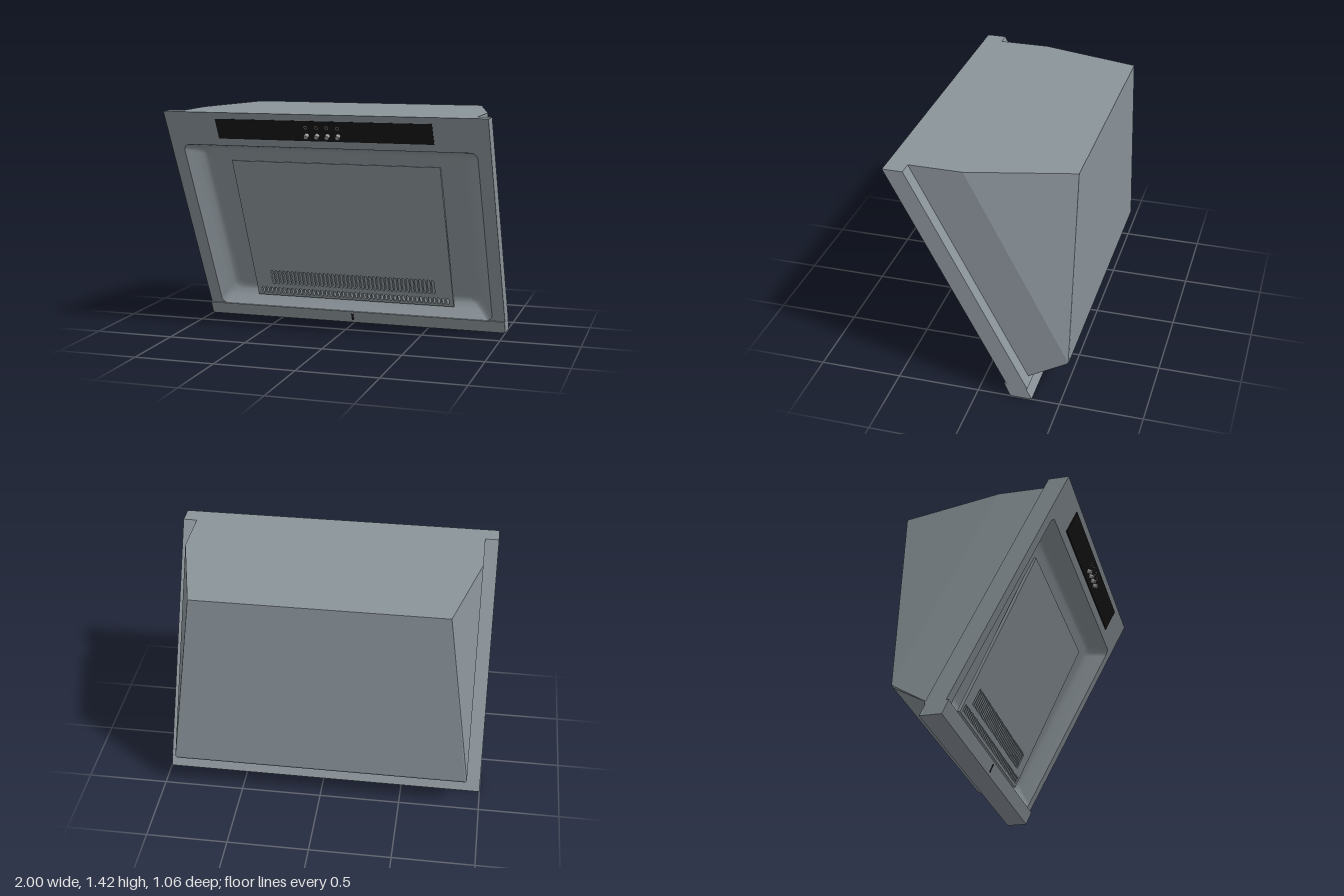
import * as THREE from 'three';
import { ConvexGeometry } from 'three/addons/geometries/ConvexGeometry.js';

const steel = new THREE.MeshStandardMaterial({ color: 0x8b949a, side: THREE.DoubleSide });
steel.name = 'steel grey';
const black = new THREE.MeshStandardMaterial({ color: 0x161616 });
black.name = 'gloss black';
const silver = new THREE.MeshStandardMaterial({ color: 0x9a9a9a });
silver.name = 'silver';

const SLOPE = 0.528;
const TILT = Math.acos(-0.467); // turns +y onto the normal of the sloping front
const front = (y) => 0.53 - SLOPE * (1.42 - y);
const panelFront = (y) => 0.258 + 0.477 * (y - 1.1);

// Points of a rounded rectangle, counter-clockwise
function roundRect(x, y0, y1, r, n = 6) {
  const pts = [];
  const centres = [[x - r, y1 - r], [r - x, y1 - r], [r - x, y0 + r], [x - r, y0 + r]];
  centres.forEach(([cx, cy], q) => {
    for (let i = 0; i <= n; i++) {
      const a = (q + i / n) * Math.PI / 2;
      pts.push(new THREE.Vector2(cx + r * Math.cos(a), cy + r * Math.sin(a)));
    }
  });
  return pts;
}

function rect(x0, x1, y0, y1) {
  return [[x0, y0], [x1, y0], [x1, y1], [x0, y1]].map((p) => new THREE.Vector2(...p));
}

function slot(x, y0, y1, r) {
  return new THREE.Path(roundRect(r, y0, y1, r * 0.98, 3).map((p) => p.add(new THREE.Vector2(x, 0))));
}

// Plate leaning along a sloping line, between two depths behind it
function slab(points, d0, d1, line = front, holes = []) {
  const shape = new THREE.Shape(points);
  shape.holes.push(...holes);
  const geo = new THREE.ExtrudeGeometry(shape, { depth: d1 - d0, bevelEnabled: false });
  const p = geo.attributes.position;
  for (let i = 0; i < p.count; i++) p.setZ(i, p.getZ(i) + line(p.getY(i)) - d1);
  geo.computeVertexNormals();
  return geo;
}

// Dished tray: rings of [half width, bottom, top, radius, depth], closed by a floor
function trayGeometry() {
  const rings = [
    [0.92, 0.08, 1.21, 0.04, 0],
    [0.875, 0.137, 1.202, 0.045, 0.065],
    [0.845, 0.175, 1.195, 0.05, 0.1],
    [0.825, 0.198, 1.187, 0.05, 0.114],
    [0.8, 0.22, 1.17, 0.05, 0.117],
    [0.76, 0.26, 1.13, 0.04, 0.117],
  ];
  const pos = [], idx = [];
  let n = 0;
  rings.forEach(([x, y0, y1, r, d]) => {
    const pts = roundRect(x, y0, y1, r);
    n = pts.length;
    pts.forEach((p) => pos.push(p.x, p.y, front(p.y) - d));
  });
  pos.push(0, 0.69, front(0.69) - 0.117);
  const centre = rings.length * n;
  for (let k = 0; k < rings.length; k++) {
    for (let j = 0; j < n; j++) {
      const a = k * n + j, b = k * n + (j + 1) % n;
      if (k === rings.length - 1) idx.push(a, b, centre);
      else idx.push(a, b, b + n, a, b + n, a + n);
    }
  }
  const geo = new THREE.BufferGeometry();
  geo.setAttribute('position', new THREE.Float32BufferAttribute(pos, 3));
  geo.setIndex(idx);
  geo.computeVertexNormals();
  return geo;
}

export function createModel() {
  const group = new THREE.Group();
  const add = (name, geo, mat) => {
    const mesh = new THREE.Mesh(geo, mat);
    mesh.name = name;
    group.add(mesh);
    return mesh;
  };

  // Rear housing with tapering upper corners
  const corners = [];
  for (const s of [-1, 1]) {
    for (const [x, y, z] of [
      [0.915, 1.42, 0.41], [0.915, 1.42, 0.09], [0.76, 1.42, -0.53],
      [0.915, 0.245, -0.527], [0.905, 0.245, -0.53], [0.905, 0.226, -0.518],
      [0.915, 0.232, -0.512], [0.915, 0.1, -0.286],
    ]) corners.push(new THREE.Vector3(s * x, y, z));
  }
  add('housing', new ConvexGeometry(corners), steel);

  // Sloping front frame, its backing and the dished tray
  const opening = new THREE.Path(roundRect(0.92, 0.08, 1.21, 0.04));
  add('frontFrame', slab(rect(-1, 1, 0.07, 1.42), 0, 0.12, front, [opening]), steel);
  add('frameBacking', slab(rect(-0.95, 0.95, 0.075, 1.4), 0.118, 0.1198), steel);
  add('recessTray', trayGeometry(), steel);

  // Bottom rail, slightly proud of the frame
  const profile = new THREE.Shape([[-0.33, 0], [-0.2, 0], [-0.162, 0.08], [-0.29, 0.08]]
    .map((p) => new THREE.Vector2(...p)));
  const rail = new THREE.ExtrudeGeometry(profile, { depth: 2, bevelEnabled: false });
  rail.rotateY(-Math.PI / 2); // profile x becomes z
  rail.translate(1, 0, 0);
  add('bottomRail', rail, steel);
  const railFront = (y) => -0.2 + 0.475 * y;
  add('railNotch', slab(rect(-0.014, 0, 0.018, 0.064), -0.003, 0.002, railFront), black);

  // Filter panel with two rows of slots
  const slots = [];
  for (let i = 0; i < 40; i++) slots.push(slot(-0.542 + i * 1.084 / 39, 0.236, 0.334, 0.0095));
  for (let i = 0; i < 44; i++) slots.push(slot(-0.627 + i * 1.254 / 43, 0.165, 0.207, 0.0095));
  add('filterPanel', slab(rect(-0.665, 0.665, 0.15, 1.1), 0, 0.02, panelFront, slots), steel);

  // Control strip with buttons and small ring markers
  add('controlStrip', slab(rect(-0.67, 0.67, 1.255, 1.38), -0.006, 0.002), black);
  for (let i = 0; i < 4; i++) {
    const x = -0.1 + i * 0.065;
    const button = add('button', new THREE.CylinderGeometry(0.014, 0.014, 0.036, 20), silver);
    button.rotation.x = TILT;
    button.position.set(x, 1.288, front(1.288) + 0.016);
    const ring = roundRect(0.011, 1.328, 1.35, 0.0109, 4).map((p) => p.add(new THREE.Vector2(x, 0)));
    add('buttonMarker', slab(ring, -0.0075, -0.005, front, [slot(x, 1.331, 1.347, 0.008)]), silver);
  }
  return group;
}
